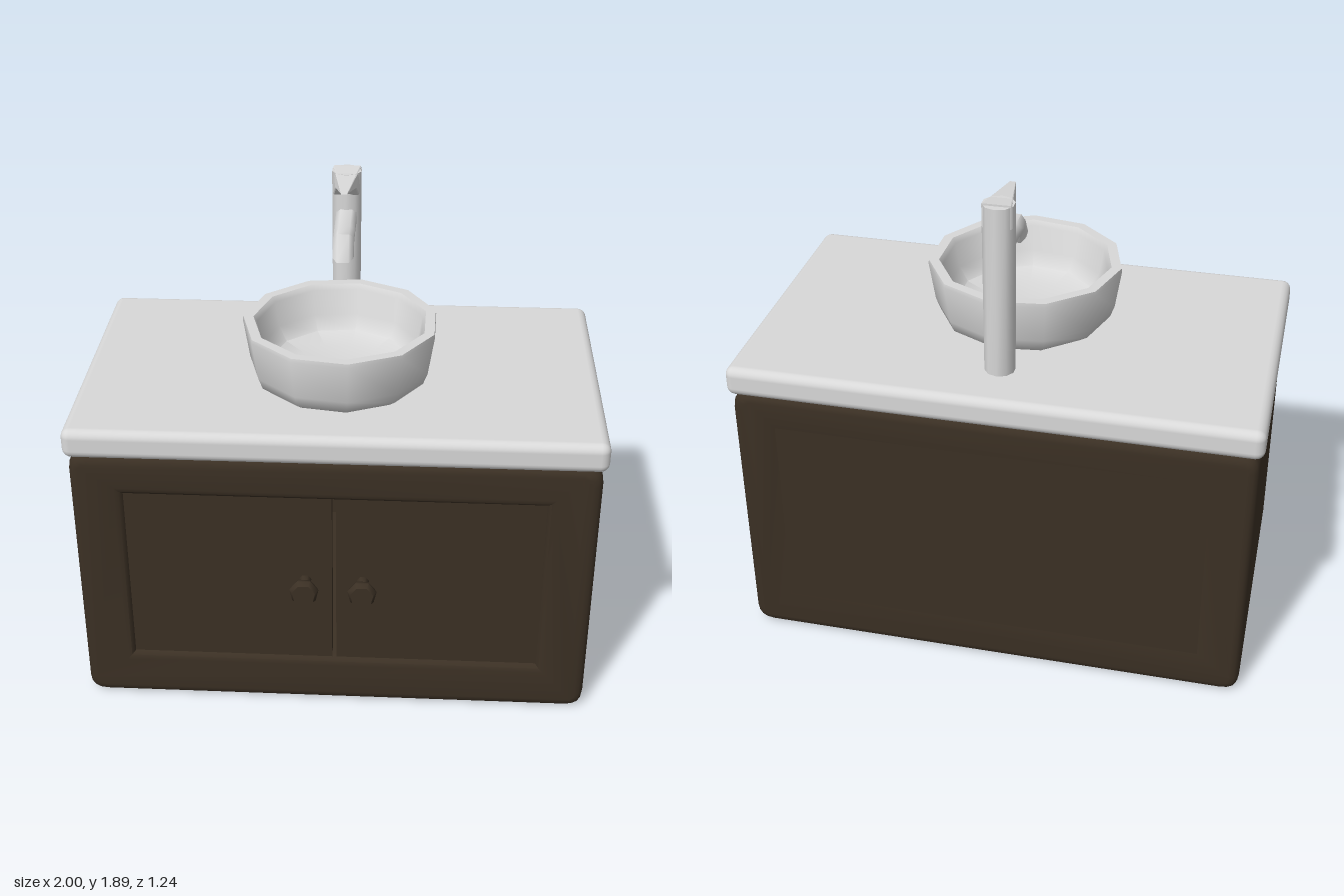
import * as THREE from 'three';
import { toCreasedNormals } from 'three/addons/utils/BufferGeometryUtils.js';
import { RoundedBoxGeometry } from 'three/addons/geometries/RoundedBoxGeometry.js';

export function createModel() {
  const group = new THREE.Group();
  const wood = new THREE.MeshStandardMaterial({ name: 'dark wood', color: 0x3b3024 });
  const ceramic = new THREE.MeshStandardMaterial({ name: 'white ceramic', color: 0xd8d8d8 });

  function add(name, geometry, material, x = 0, y = 0, z = 0, parent = group) {
    const mesh = new THREE.Mesh(geometry, material);
    mesh.name = name;
    mesh.position.set(x, y, z);
    parent.add(mesh);
    return mesh;
  }

  // Rectangle with rounded corners, as a Shape or a hole Path
  function roundedRect(path, x0, y0, x1, y1, r) {
    path.moveTo(x0 + r, y0);
    path.lineTo(x1 - r, y0).quadraticCurveTo(x1, y0, x1, y0 + r);
    path.lineTo(x1, y1 - r).quadraticCurveTo(x1, y1, x1 - r, y1);
    path.lineTo(x0 + r, y1).quadraticCurveTo(x0, y1, x0, y1 - r);
    path.lineTo(x0, y0 + r).quadraticCurveTo(x0, y0, x0 + r, y0);
    return path;
  }

  // Side profile of [z, y] points, extruded across x and centred on x = 0
  function sideProfile(points, halfWidth, bevel) {
    const shape = new THREE.Shape(points.map(([z, y]) => new THREE.Vector2(-z, y)));
    const depth = 2 * (halfWidth - bevel);
    const geometry = new THREE.ExtrudeGeometry(shape, {
      depth, bevelEnabled: true, bevelThickness: bevel, bevelSize: bevel,
      bevelOffset: -bevel, bevelSegments: 1,
    });
    return geometry.translate(0, 0, -depth / 2).rotateY(Math.PI / 2);
  }

  // Cabinet carcass: bevelled shell with an opening for the doors
  const b = 0.035;
  const shell = roundedRect(new THREE.Shape(), -0.985, 0, 0.985, 1.105, 0.07);
  const hole = new THREE.Path();
  hole.moveTo(-0.785, 0.205);
  hole.lineTo(-0.785, 0.935).lineTo(0.785, 0.935).lineTo(0.785, 0.205).lineTo(-0.785, 0.205);
  shell.holes.push(hole);
  const carcass = new THREE.ExtrudeGeometry(shell, {
    depth: 1.15 - 2 * b, bevelEnabled: true, bevelThickness: b, bevelSize: b,
    bevelOffset: -b, bevelSegments: 3, curveSegments: 4,
  });
  carcass.translate(0, 0, -0.61 + b);
  add('cabinetBody', toCreasedNormals(carcass, 0.8), wood);
  add('cabinetBack', new THREE.BoxGeometry(1.64, 0.8, 0.1), wood, 0, 0.57, -0.56);

  // Doors with faceted knobs
  const knobProfile = [[0, 0], [0.024, 0], [0.022, 0.055], [0.05, 0.065], [0.057, 0.085], [0.045, 0.105], [0, 0.105]]
    .map(([r, y]) => new THREE.Vector2(r, y));
  for (const side of [-1, 1]) {
    const name = side > 0 ? 'left' : 'right';
    add(name + 'Door', new THREE.BoxGeometry(0.806, 0.79, 0.05), wood, side * 0.411, 0.57, 0.495);
    const knob = new THREE.LatheGeometry(knobProfile, 7).rotateX(Math.PI / 2);
    add(name + 'Knob', toCreasedNormals(knob, 0.9), wood, side * 0.11, 0.567, 0.517);
  }

  // Countertop slab
  add('countertop', new RoundedBoxGeometry(2, 0.118, 1.175, 3, 0.035), ceramic, 0, 1.154, -0.034);

  // Vessel basin
  const basinProfile = [
    [0, 0], [0.3, 0], [0.335, 0.025], [0.352, 0.07], [0.376, 0.225], [0.374, 0.24],
    [0.335, 0.24], [0.322, 0.22], [0.305, 0.12], [0.27, 0.065], [0.18, 0.04], [0, 0.035],
  ].map(([r, y]) => new THREE.Vector2(r, y));
  const basin = toCreasedNormals(new THREE.LatheGeometry(basinProfile, 11), 0.75);
  add('basin', basin, ceramic, 0, 1.21, 0.05).rotation.y = 0.12;

  // Faucet: column, bent spout and tapered lever
  const faucet = new THREE.Group();
  faucet.name = 'faucet';
  group.add(faucet);
  const column = new THREE.CylinderGeometry(0.06, 0.058, 0.675, 10);
  add('faucetColumn', toCreasedNormals(column, 0.9), ceramic, 0, 1.5475, -0.39, faucet);

  const spout = sideProfile([
    [-0.38, 1.665], [-0.38, 1.75], [-0.33, 1.74], [-0.21, 1.725], [-0.13, 1.722],
    [-0.072, 1.628], [-0.138, 1.608], [-0.168, 1.662], [-0.25, 1.668],
  ], 0.04, 0.018);
  add('faucetSpout', toCreasedNormals(spout, 0.9), ceramic, 0, 0, 0, faucet);

  const lever = sideProfile([[-0.42, 1.892], [-0.17, 1.868], [-0.3, 1.842], [-0.34, 1.8], [-0.42, 1.8]], 0.055, 0.004);
  const p = lever.attributes.position;
  for (let i = 0; i < p.count; i++) {
    const t = THREE.MathUtils.clamp((p.getZ(i) + 0.36) / 0.19, 0, 1);
    p.setX(i, p.getX(i) * (1 - 0.8 * t));
  }
  lever.computeVertexNormals();
  add('faucetLever', lever, ceramic, 0, 0, 0, faucet);

  return group;
}
